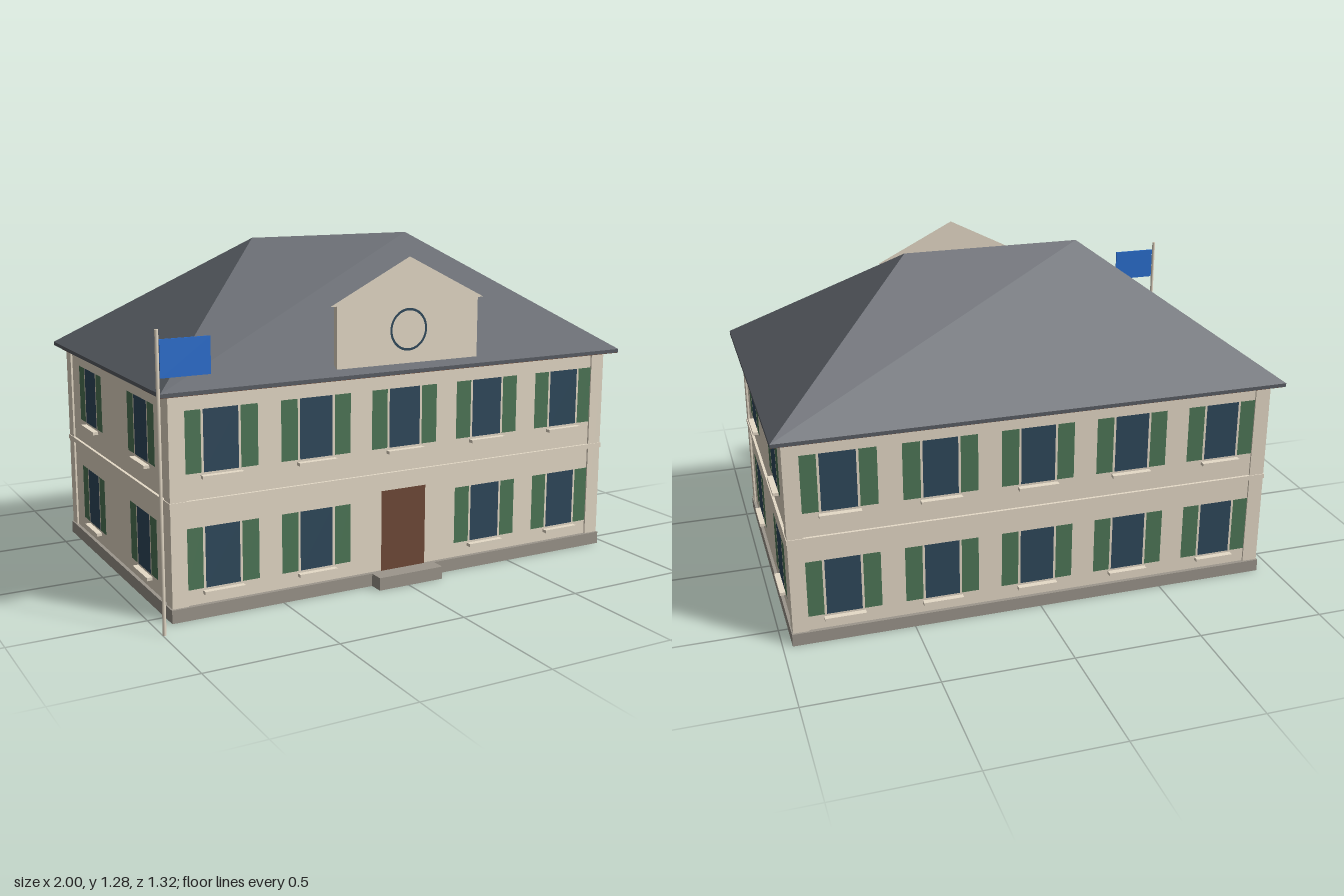
import * as THREE from 'three';

const paint = (name, color, side = THREE.FrontSide) => {
  const m = new THREE.MeshStandardMaterial({ color, side });
  m.name = name;
  return m;
};

export function createModel() {
  const cream = paint('cream wall', 0xe6dbc8);
  const stone = paint('grey stone', 0x9c968c, THREE.DoubleSide);
  const slate = paint('slate', 0x5a5e65);
  const glass = paint('window glass', 0x2f495c);
  const green = paint('shutter green', 0x4e7757);
  const brown = paint('brown wood', 0x704a38);
  const blue = paint('flag blue', 0x2a6fd0);
  const creamSheet = paint('cream sheet', 0xe6dbc8, THREE.DoubleSide);

  const add = (parent, name, geometry, material, x = 0, y = 0, z = 0) => {
    const mesh = new THREE.Mesh(geometry, material);
    mesh.name = name;
    mesh.position.set(x, y, z);
    parent.add(mesh);
    return mesh;
  };
  // Box given by its centre in x and z, and its bottom and top
  const box = (parent, name, material, w, y0, y1, d, x = 0, z = 0) =>
    add(parent, name, new THREE.BoxGeometry(w, y1 - y0, d), material, x, (y0 + y1) / 2, z);
  // The same box, hollow and open underneath
  const openBox = (...args) => {
    const { geometry } = box(...args);
    geometry.setIndex([...geometry.index.array].filter((_, i) => i < 18 || i >= 24));
    geometry.clearGroups();
  };
  // Flat painted panel facing +z
  const panel = (parent, name, material, w, y0, y1, x, z) =>
    add(parent, name, new THREE.PlaneGeometry(w, y1 - y0), material, x, (y0 + y1) / 2, z);

  const model = new THREE.Group();
  model.name = 'villa';
  const house = new THREE.Group();
  house.name = 'house';
  house.position.set(0.015, 0, -0.0255);
  model.add(house);

  // Body: hollow plinth and entrance step, walls, corner pilasters and string course
  const HX = 0.937, HZ = 0.585, FLOOR = 0.0505;
  openBox(house, 'plinth', stone, 1.898, 0, 0.049, 1.196);
  openBox(house, 'entranceStep', stone, 0.278, 0, 0.049, 0.058, -0.004, 0.627);
  box(house, 'walls', cream, HX * 2, FLOOR, 0.815, HZ * 2);
  for (const sx of [-1, 1]) for (const sz of [-1, 1])
    box(house, 'cornerPilaster', cream, 0.06, FLOOR, 0.815, 0.057, sx * 0.9145, sz * 0.5635);
  box(house, 'stringCourse', cream, 1.895, 0.415, 0.434, 1.19);

  // Window with glass, two shutters and a sill; y is the bottom of the glass
  const windowUnit = (parent, x, y, z) => {
    const unit = new THREE.Group();
    unit.name = 'window';
    unit.position.set(x, y, z);
    parent.add(unit);
    panel(unit, 'glass', glass, 0.133, 0, 0.225, 0, 0.002);
    for (const s of [-1, 1])
      panel(unit, 'shutter', green, 0.066, 0, 0.225, s * 0.1085, 0.002);
    box(unit, 'sill', cream, 0.156, -0.021, -0.009, 0.022, 0, 0.011);
  };

  // Facade built facing +z, then turned to its side of the house
  const facade = (name, turn, depth, columns, hasDoor) => {
    const side = new THREE.Group();
    side.name = name;
    side.rotation.y = turn;
    house.add(side);
    for (const x of columns) {
      windowUnit(side, x, 0.529, depth);
      if (hasDoor && x === 0) panel(side, 'door', brown, 0.194, 0.049, 0.364, -0.001, depth + 0.002);
      else windowUnit(side, x, 0.108, depth);
    }
  };
  const five = [-2, -1, 0, 1, 2].map((i) => i * 0.374);
  const two = [-0.295, 0.295];
  facade('frontFacade', 0, HZ, five, true);
  facade('backFacade', Math.PI, HZ, five, false);
  facade('leftFacade', Math.PI / 2, HX, two, false);
  facade('rightFacade', -Math.PI / 2, HX, two, false);

  // Roof: wooden soffit, eave slab and hipped top
  const RX = 0.985, RZ = 0.634;
  box(house, 'soffit', brown, RX * 2 - 0.006, 0.813, 0.816, RZ * 2 - 0.006);
  box(house, 'eave', slate, RX * 2, 0.815, 0.829, RZ * 2);
  const a = [-RX, 0.829, RZ], b = [RX, 0.829, RZ], c = [RX, 0.829, -RZ], d = [-RX, 0.829, -RZ];
  const r0 = [-0.352, 1.284, 0], r1 = [0.352, 1.284, 0];
  const faces = [a, b, r1, a, r1, r0, b, c, r1, c, d, r0, c, r0, r1, d, a, r0];
  const hip = new THREE.BufferGeometry();
  hip.setAttribute('position', new THREE.Float32BufferAttribute(faces.flat(), 3));
  hip.computeVertexNormals();
  add(house, 'hippedRoof', hip, slate);

  // Front gable with a flat pediment and a round ring
  const gable = new THREE.Group();
  gable.name = 'frontGable';
  gable.position.z = 0.598;
  house.add(gable);
  box(gable, 'gableWall', cream, 0.606, 0.85, 1.081, 0.023, 0.001);
  const pediment = new THREE.Shape();
  pediment.moveTo(-0.33, 1.078);
  pediment.lineTo(0.33, 1.078);
  pediment.lineTo(0, 1.244);
  add(gable, 'pediment', new THREE.ShapeGeometry(pediment), creamSheet, 0, 0, 0.0118);
  add(gable, 'gableRing', new THREE.RingGeometry(0.0705, 0.0795, 40), glass, -0.002, 0.976, 0.0135);

  // Flagpole beside the front corner
  add(model, 'flagpole', new THREE.CylinderGeometry(0.0065, 0.0065, 1.056, 10), cream, -0.9935, 0.528, 0.6535);
  box(model, 'flag', blue, 0.18, 0.892, 1.022, 0.005, -0.895, 0.6535);

  return model;
}
